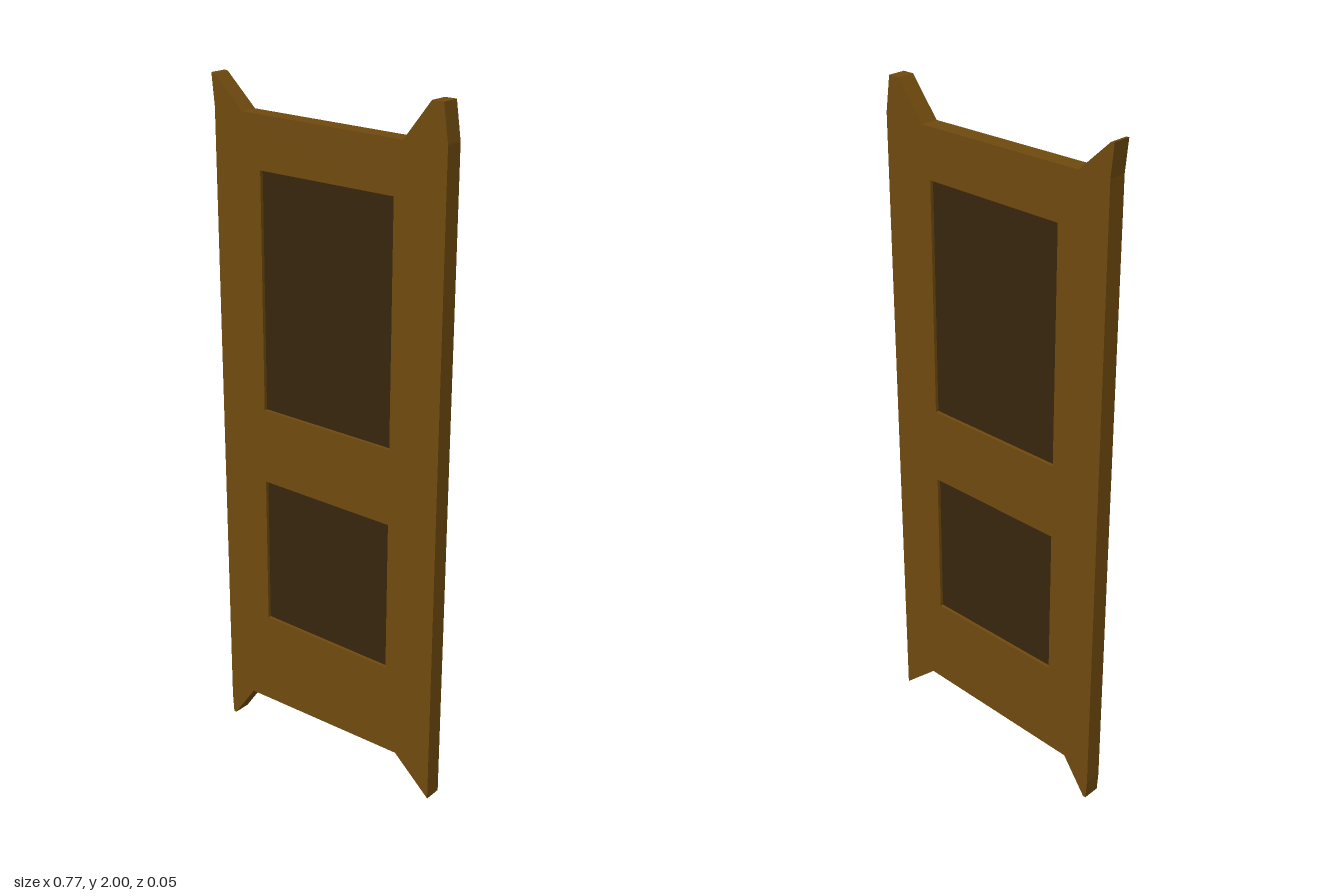
import * as THREE from 'three';

const DEPTH = 0.052;
const RECESS = 0.01;

// Slab outline, clockwise from the upper left horn
const OUTLINE = [
  [-0.384, 1.99], [-0.373, 1.988], [-0.278, 1.9], [0.25, 1.895], [0.333, 2], [0.368, 2],
  [0.383, 1.9], [0.383, 0.02], [0.265, 0.125], [-0.285, 0.11], [-0.362, 0], [-0.371, 0],
  [-0.375, 0.06], [-0.375, 1.9],
];

const PANELS = [
  { name: 'upperPanel', bottom: 1.069, top: 1.752 },
  { name: 'lowerPanel', bottom: 0.397, top: 0.847 },
];
const LEFT = -0.217, RIGHT = 0.225;

const toPoints = (list) => list.map(([x, y]) => new THREE.Vector2(x, y));

export function createModel() {
  const model = new THREE.Group();
  model.name = 'door';
  const wood = new THREE.MeshStandardMaterial({ color: 0x704a0e, flatShading: true });
  const darkWood = new THREE.MeshStandardMaterial({ color: 0x38260e, flatShading: true });

  // Horned door frame with two openings
  const shape = new THREE.Shape(toPoints(OUTLINE));
  for (const { bottom, top } of PANELS) {
    shape.holes.push(new THREE.Path(toPoints([
      [LEFT, bottom], [RIGHT, bottom], [RIGHT, top], [LEFT, top],
    ])));
  }
  const frameGeometry = new THREE.ExtrudeGeometry(shape, { depth: DEPTH, bevelEnabled: false });
  frameGeometry.translate(0, 0, -DEPTH / 2);
  const frame = new THREE.Mesh(frameGeometry, wood);
  frame.name = 'doorFrame';
  model.add(frame);

  // Dark panels, set back slightly on both faces
  for (const { name, bottom, top } of PANELS) {
    const panel = new THREE.Mesh(
      new THREE.BoxGeometry(RIGHT - LEFT, top - bottom, DEPTH - 2 * RECESS), darkWood);
    panel.position.set((LEFT + RIGHT) / 2, (bottom + top) / 2, 0);
    panel.name = name;
    model.add(panel);
  }
  return model;
}
